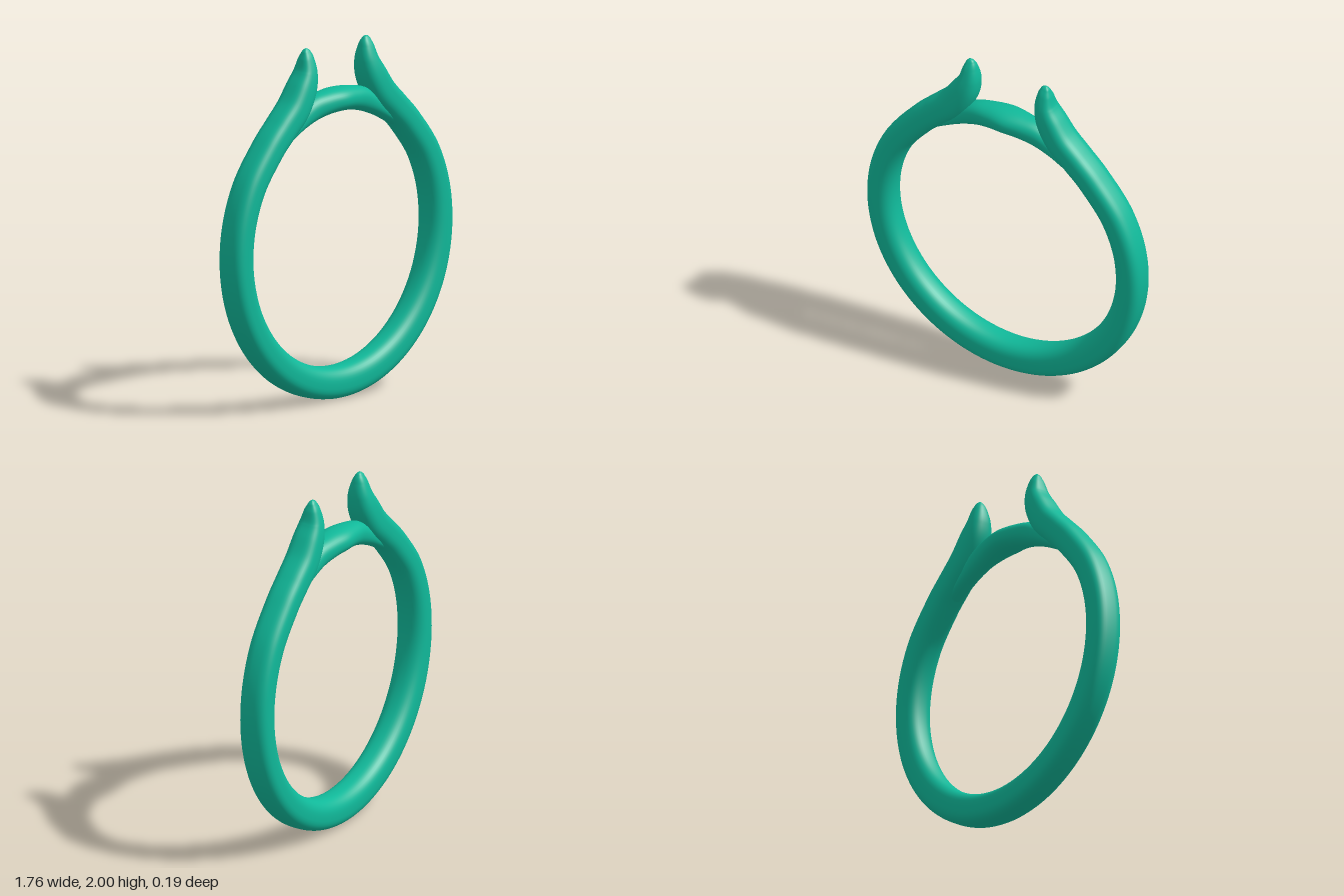
import * as THREE from 'three';

const material = new THREE.MeshStandardMaterial({ color: 0x10b899, side: THREE.DoubleSide });

// Signed power, for superellipse cross-sections
const spow = (v, n) => Math.sign(v) * Math.abs(v) ** (2 / n);

// Sweeps a soft-cornered section along stations [x, y, half width, half depth];
// the stations cover x >= 0 and are mirrored to the other side
function sweep(name, half, steps, nIn, nOut) {
  const mirrored = half.slice(1).reverse().map(([x, y, w, d]) => [-x, y, w, d]);
  const all = [...mirrored, ...half];
  const path = new THREE.CatmullRomCurve3(
    all.map(([x, y]) => new THREE.Vector3(x, y, 0)), false, 'catmullrom', 0.5);
  const size = new THREE.CatmullRomCurve3(
    all.map(([, , w, d]) => new THREE.Vector3(w, d, 0)), false, 'catmullrom', 0.5);
  const sides = 40, pos = [], index = [];
  for (let i = 0; i <= steps; i++) {
    const p = path.getPoint(i / steps), t = path.getTangent(i / steps), s = size.getPoint(i / steps);
    for (let j = 0; j < sides; j++) {
      const a = (j / sides) * Math.PI * 2, c = Math.cos(a);
      const n = c > 0 ? nIn : nOut;
      const u = s.x * spow(c, n), v = s.y * spow(Math.sin(a), n);
      pos.push(p.x - t.y * u, p.y + t.x * u, v);
      if (i < steps) {
        const k = i * sides + j, k1 = i * sides + (j + 1) % sides;
        index.push(k, k1, k + sides, k1, k1 + sides, k + sides);
      }
    }
  }
  const g = new THREE.BufferGeometry();
  g.setAttribute('position', new THREE.Float32BufferAttribute(pos, 3));
  g.setIndex(index);
  g.computeVertexNormals();
  const mesh = new THREE.Mesh(g, material);
  mesh.name = name;
  return mesh;
}

export function createModel() {
  const group = new THREE.Group();
  group.name = 'ring';

  // Circular band, from the bottom up to the shoulder
  const band = [];
  for (let deg = -90; deg <= 46; deg += 17) {
    const a = THREE.MathUtils.degToRad(deg), s = Math.sin(a);
    const low = Math.max(0, -s);
    band.push([0.797 * Math.cos(a), 0.895 + (s < 0 ? 0.805 : 0.797) * s, 0.081 + 0.009 * low, 0.09]);
  }
  // Arms leave the circle and curl up to rounded tips
  band.push(
    [0.445, 1.575, 0.083, 0.09],
    [0.345, 1.67, 0.085, 0.09],
    [0.278, 1.775, 0.079, 0.083],
    [0.245, 1.86, 0.061, 0.068],
    [0.239, 1.94, 0.042, 0.043],
    [0.24, 1.98, 0.026, 0.022],
    [0.241, 1.995, 0.013, 0.01],
    [0.241, 2.0, 0.001, 0.001],
  );
  group.add(sweep('bandWithArms', band, 360, 2.4, 2.9));

  // Bridge closing the circle between the arms, its ends buried in them
  group.add(sweep('bridge', [
    [0, 1.678, 0.067, 0.095],
    [0.1, 1.671, 0.067, 0.083],
    [0.2, 1.649, 0.067, 0.068],
    [0.3, 1.6, 0.054, 0.06],
    [0.39, 1.537, 0.036, 0.055],
    [0.48, 1.47, 0.022, 0.045],
  ], 100, 2.2, 2.2));

  return group;
}
